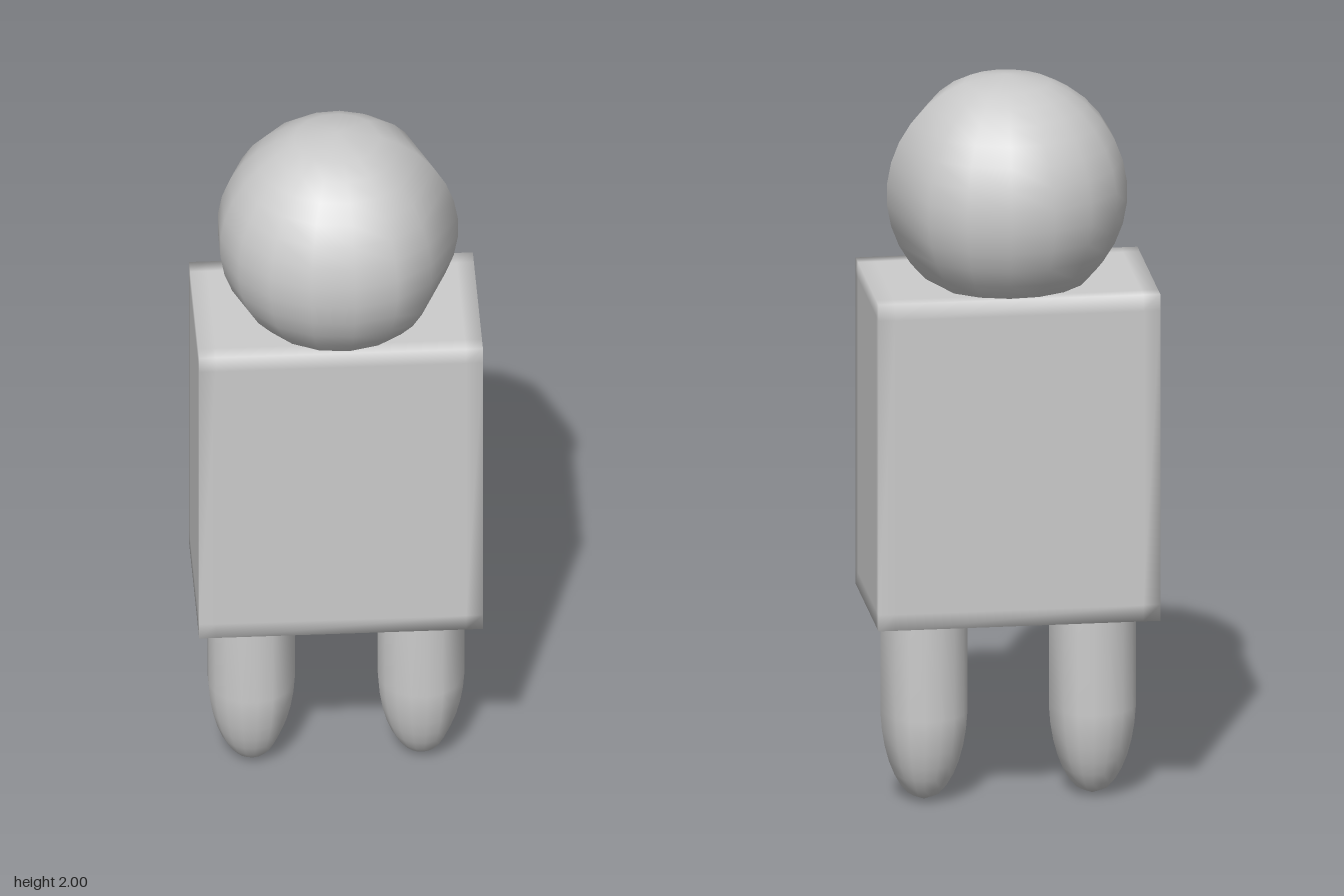
import * as THREE from 'three';
import { mergeVertices } from 'three/addons/utils/BufferGeometryUtils.js';

const material = new THREE.MeshStandardMaterial({ color: 0xcccccc });

// Weld all corners so that shading runs smoothly across every edge
function smooth(geometry) {
  geometry.deleteAttribute('normal');
  geometry.deleteAttribute('uv');
  const welded = mergeVertices(geometry, 1e-4);
  welded.computeVertexNormals();
  return welded;
}

// Ball with 17ths of a turn as steps; the first and last step are double width.
// The upper half is raised by `stretch`, which turns the ball into a capsule.
function ball(rx, ry, stretch = 0) {
  const n = 15;
  const geometry = new THREE.SphereGeometry(1, n, n);
  const p = geometry.attributes.position;
  const step = (i) => (i === 0 ? 0 : i === n ? 1 : (i + 1) / 17);
  for (let j = 0, k = 0; j <= n; j++) {
    const theta = step(j) * Math.PI;
    for (let i = 0; i <= n; i++, k++) {
      const phi = step(i) * Math.PI * 2;
      const r = rx * Math.sin(theta);
      const y = ry * Math.cos(theta);
      p.setXYZ(k, r * Math.cos(phi), y > 0 ? y + stretch : y, -r * Math.sin(phi));
    }
  }
  return smooth(geometry);
}

// Sharp block with edge loops close to its edges, giving softly shaded borders
function block(w, h, d, inset) {
  const geometry = new THREE.BoxGeometry(w, h, d, 3, 3, 3);
  const p = geometry.attributes.position;
  const pull = (v, size) =>
    Math.abs(v) > size * 0.4 ? v : Math.sign(v) * (size / 2 - inset);
  for (let i = 0; i < p.count; i++) {
    p.setXYZ(i, pull(p.getX(i), w), pull(p.getY(i), h), pull(p.getZ(i), d));
  }
  return smooth(geometry);
}

function addPart(group, name, geometry, x, y, z) {
  const mesh = new THREE.Mesh(geometry, material);
  mesh.name = name;
  mesh.position.set(x, y, z);
  group.add(mesh);
}

export function createModel() {
  const group = new THREE.Group();
  group.name = 'figure';

  addPart(group, 'head', ball(0.322, 0.322), 0.004, 1.678, 0);
  addPart(group, 'body', block(0.756, 0.905, 0.452, 0.045), 0, 0.9875, 0);

  // Legs: long rounded tips, tops sunk into the body
  const leg = ball(0.117, 0.27, 0.3);
  addPart(group, 'leftLeg', leg, 0.226, 0.27, 0);
  addPart(group, 'rightLeg', leg, -0.226, 0.27, 0);

  return group;
}
